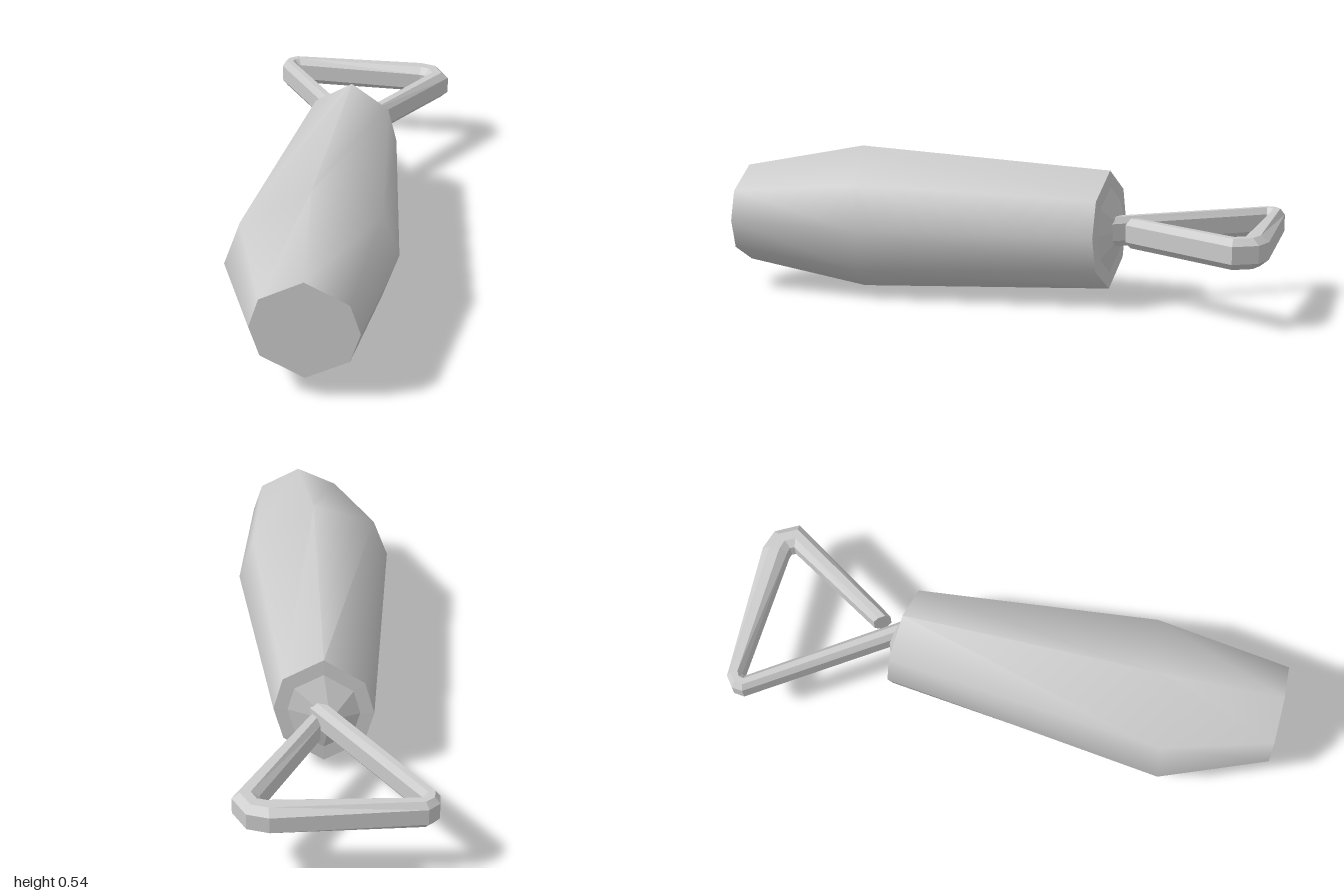
import * as THREE from 'three';
import { toCreasedNormals } from 'three/addons/utils/BufferGeometryUtils.js';

const MID_Y = 0.271;
// Octagon with a point at the top, bottom and both sides
const ANGLES = [0, 36, 90, 144, 180, 216, 270, 324].map(THREE.MathUtils.degToRad);

// Skins a list of rings; each end is closed by a fan to the given tip when there is one
function loft(rings, startTip, endTip) {
  const pos = [];
  const tri = (...pts) => pts.forEach((p) => pos.push(p.x, p.y, p.z));
  const n = rings[0].length;
  for (let j = 0; j < n; j++) {
    const k = (j + 1) % n;
    for (let i = 0; i < rings.length - 1; i++) {
      const a = rings[i], b = rings[i + 1];
      tri(a[j], a[k], b[k]);
      tri(a[j], b[k], b[j]);
    }
    const last = rings[rings.length - 1];
    if (startTip) tri(startTip, rings[0][k], rings[0][j]);
    if (endTip) tri(endTip, last[j], last[k]);
  }
  const geo = new THREE.BufferGeometry();
  geo.setAttribute('position', new THREE.Float32BufferAttribute(pos, 3));
  geo.computeVertexNormals();
  return geo;
}

// Ring across the body, leaning along z by slope
function bodyRing(cx, rx, ry, z, slope) {
  return ANGLES.map((a) => new THREE.Vector3(
    cx + rx * Math.cos(a), MID_Y + ry * Math.sin(a), z + slope * rx * Math.cos(a)));
}

const ringCentre = (ring) =>
  ring.reduce((s, p) => s.add(p), new THREE.Vector3()).divideScalar(ring.length);

export function createModel() {
  const group = new THREE.Group();
  const smooth = new THREE.MeshStandardMaterial({ color: 0xcccccc });
  const flat = new THREE.MeshStandardMaterial({ color: 0xcccccc, flatShading: true });
  const add = (name, geo, mat) => {
    const mesh = new THREE.Mesh(geo, mat);
    mesh.name = name;
    group.add(mesh);
  };

  // Bulging body with a flat front end
  const back = bodyRing(0.005, 0.176, 0.218, -0.395, 0.14);
  const belly = bodyRing(-0.017, 0.294, 0.268, 0.555, -0.22);
  const front = bodyRing(0.02, 0.183, 0.182, 1, 0);
  add('body', toCreasedNormals(loft([back, belly, front], null, ringCentre(front)), 1.05), smooth);

  // Back end: flat rim around a shallow cone
  const rim = bodyRing(0.005, 0.127, 0.157, -0.397, 0.14);
  add('backCap', loft([rim, back], new THREE.Vector3(-0.015, MID_Y, -0.453), null), flat);

  // Triangular loop: outer and inner x, z at each station
  const stations = [
    [-0.015, -0.415, 0.055, -0.415],
    [-0.345, -0.92, -0.285, -0.925],
    [-0.34, -0.96, -0.28, -0.936],
    [-0.3, -0.99, -0.272, -0.936],
    [0.22, -1, 0.225, -0.905],
    [0.295, -0.975, 0.242, -0.9],
    [0.34, -0.89, 0.248, -0.885],
    [0.06, -0.465, 0.025, -0.52],
  ];
  // Bevelled section: position from inner (0) to outer (1), and height
  const section = [
    [1, -0.031], [1, 0.031], [0.7, 0.054], [0.3, 0.054],
    [0, 0.031], [0, -0.031], [0.3, -0.054], [0.7, -0.054],
  ];
  const strap = stations.map(([ox, oz, ix, iz]) => section.map(([t, h]) => new THREE.Vector3(
    THREE.MathUtils.lerp(ix, ox, t), MID_Y + h, THREE.MathUtils.lerp(iz, oz, t))));
  add('strapLoop', loft(strap, ringCentre(strap[0]), ringCentre(strap[strap.length - 1])), flat);

  return group;
}
